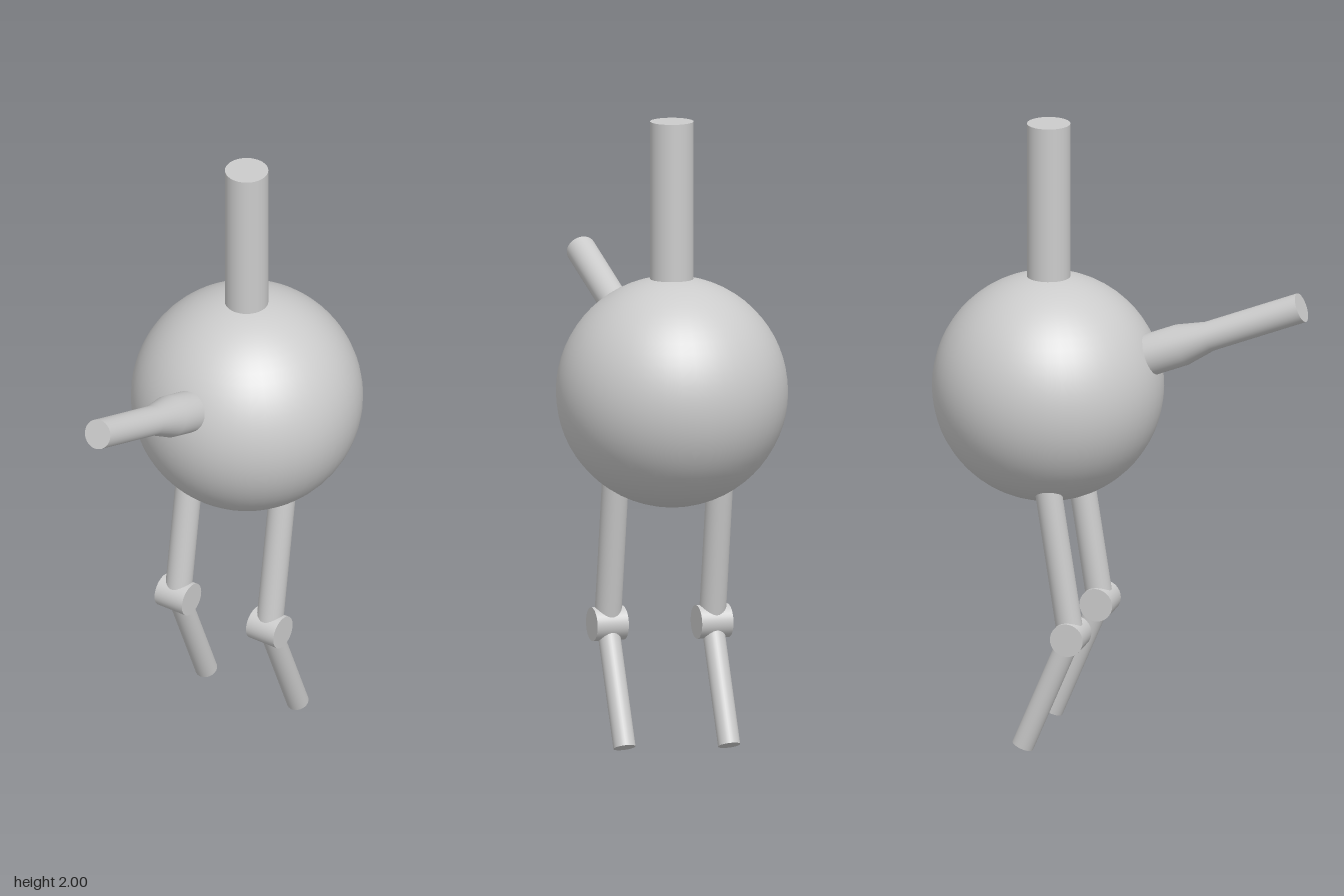
import * as THREE from 'three';

const material = new THREE.MeshStandardMaterial({ color: 0xcccccc });
const V = (x, y, z) => new THREE.Vector3(x, y, z);
const UP = V(0, 1, 0);

function addMesh(parent, name, geometry) {
  const mesh = new THREE.Mesh(geometry, material);
  mesh.name = name;
  parent.add(mesh);
  return mesh;
}

// Capped round rod running from point a to point b
function addRod(parent, name, a, b, radius) {
  const dir = b.clone().sub(a);
  const mesh = addMesh(parent, name, new THREE.CylinderGeometry(radius, radius, dir.length(), 32));
  mesh.position.copy(a).add(b).multiplyScalar(0.5);
  mesh.quaternion.setFromUnitVectors(UP, dir.normalize());
  return mesh;
}

export function createModel() {
  const model = new THREE.Group();
  model.name = 'roundBodiedFigure';

  // Round body
  const body = addMesh(model, 'body', new THREE.SphereGeometry(0.363, 48, 32));
  body.position.set(0, 1.145, -0.235);

  // Upright neck
  addRod(model, 'neck', V(0, 1.42, -0.233), V(0, 2, -0.233), 0.068);

  // Forward spout: thick at the root, stepping down to a thin tube
  const profile = [[0, 0], [0.066, 0], [0.066, 0.185], [0.047, 0.28], [0.047, 0.6], [0, 0.6]];
  const points = [];
  profile.forEach(([r, y], i) => {
    points.push(new THREE.Vector2(r, y));
    // doubled rim points keep the end caps crisp
    if (i === 1 || i === 4) points.push(new THREE.Vector2(r, y + (i === 1 ? 0.0005 : 0.0001)));
  });
  const spout = addMesh(model, 'spout', new THREE.LatheGeometry(points, 32));
  const spoutDir = V(0, 0.366, 0.931).normalize();
  spout.quaternion.setFromUnitVectors(UP, spoutDir);
  spout.position.copy(V(0.003, 1.463, 0.585).addScaledVector(spoutDir, -0.6));

  // Legs: thigh, sideways knee barrel and backward-slanting shin
  for (const [name, x, drop] of [['leftLeg', 0.17, 0], ['rightLeg', -0.178, -0.013]]) {
    const leg = new THREE.Group();
    leg.name = name;
    leg.position.set(x, drop, 0);
    const knee = V(0, 0.4, -0.113);
    addRod(leg, 'thigh', V(0, 0.91, -0.192), knee, 0.042);
    addRod(leg, 'knee', V(-0.052, 0.4, -0.113), V(0.052, 0.4, -0.113), 0.053);
    addRod(leg, 'shin', knee, V(0, 0.031, -0.268), 0.035);
    model.add(leg);
  }

  return model;
}
